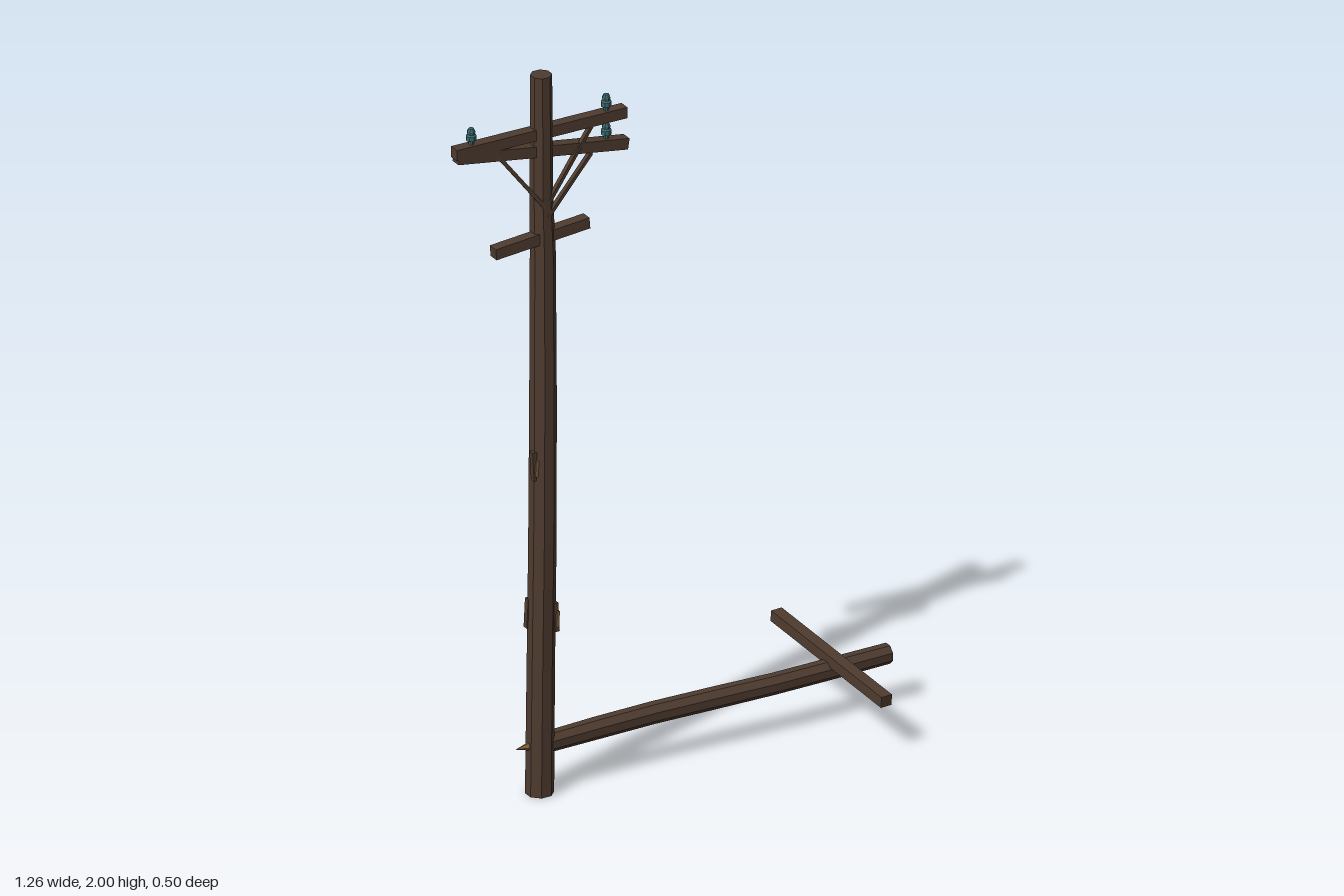
import * as THREE from 'three';

const mat = (name, color) => {
  const m = new THREE.MeshStandardMaterial({ color });
  m.name = name;
  m.flatShading = true;
  return m;
};

export function createModel() {
  const group = new THREE.Group();
  const wood = mat('weathered brown wood', 0x4e3b2f);
  const rawWood = mat('exposed tan wood', 0x80623a);
  const glass = mat('teal glass', 0x3b686c);

  const add = (name, geometry, material) => {
    const mesh = new THREE.Mesh(geometry, material);
    mesh.name = name;
    group.add(mesh);
    return mesh;
  };

  // Eight-sided log along y; each station is [position, offsetA, offsetB, radius]
  const log = (stations) => {
    const n = stations.length - 1;
    const g = new THREE.CylinderGeometry(1, 1, 1, 8, n);
    g.rotateY(Math.PI / 8);
    const p = g.attributes.position;
    for (let i = 0; i < p.count; i++) {
      const [y, a, b, r] = stations[Math.round((p.getY(i) + 0.5) * n)];
      p.setXYZ(i, p.getX(i) * r + a, y, p.getZ(i) * r + b);
    }
    g.computeVertexNormals();
    return g;
  };

  // Rectangular timber between two points
  const timber = (name, from, to, height, depth) => {
    const a = new THREE.Vector3(...from), b = new THREE.Vector3(...to);
    const mesh = add(name, new THREE.BoxGeometry(height, depth, a.distanceTo(b)), wood);
    mesh.position.copy(a).add(b).multiplyScalar(0.5);
    mesh.lookAt(b);
    return mesh;
  };

  // Standing pole, slightly bowed
  add('pole', log([
    [0, -0.387, 0.001, 0.037], [0.35, -0.384, 0.002, 0.036], [0.7, -0.38, 0.003, 0.036],
    [1.1, -0.377, 0.001, 0.035], [1.5, -0.377, 0, 0.033], [1.65, -0.381, 0, 0.03], [2, -0.382, 0, 0.028],
  ]), wood);

  // Fallen pole lying out to the side, with a gentle snake in plan
  const fallen = log([
    [-0.4, -0.135, 0.003, 0.027], [-0.22, -0.136, -0.004, 0.029], [-0.05, -0.136, -0.009, 0.029],
    [0.12, -0.136, -0.005, 0.029], [0.29, -0.136, 0, 0.028], [0.45, -0.136, -0.003, 0.028],
    [0.63, -0.136, -0.008, 0.027],
  ]);
  fallen.rotateZ(-Math.PI / 2);
  // After the turn the first offset becomes height
  add('fallenPole', fallen, wood);

  // Broken, splintered end poking through the standing pole
  const tip = add('brokenEnd', new THREE.ConeGeometry(0.018, 0.065, 5), rawWood);
  tip.rotation.z = Math.PI / 2;
  tip.position.set(-0.424, 0.135, 0);

  // Crossarms
  timber('upperCrossarm', [-0.635, 1.84, 0], [-0.14, 1.84, 0], 0.03, 0.03);
  timber('saggingCrossarm', [-0.628, 1.828, 0], [-0.136, 1.752, 0], 0.03, 0.03);
  timber('shortCrossarm', [-0.525, 1.54, 0.007], [-0.253, 1.563, 0.007], 0.03, 0.03);
  timber('fallenCrossarm', [0.478, 0.145, 0.245], [0.444, 0.19, -0.247], 0.032, 0.03);

  // Thin braces from the arms down to the pole
  [
    [[-0.53, 1.83], [-0.385, 1.64]],
    [[-0.24, 1.83], [-0.372, 1.655]],
    [[-0.243, 1.752], [-0.378, 1.61]],
  ].forEach(([a, b]) => timber('brace', [...a, 0.008], [...b, 0.023], 0.012, 0.01));

  // Insulators: bell-shaped bodies on the arms
  const bell = [[0, 0], [0.007, 0], [0.007, 0.012], [0.014, 0.014], [0.014, 0.026],
    [0.01, 0.03], [0.011, 0.038], [0.007, 0.046], [0, 0.048]].map(([x, y]) => new THREE.Vector2(x, y));
  [[-0.585, 1.853], [-0.193, 1.853], [-0.193, 1.774]].forEach(([x, y]) => {
    add('insulator', new THREE.LatheGeometry(bell, 8), glass).position.set(x, y, 0);
  });

  // Split bark flaps and raw slivers along the pole: x, y, z, lean
  [
    [-0.409, 0.92, 0.012, 0.06], [-0.411, 0.5, -0.014, -0.05], [-0.353, 0.49, 0.02, 0.05],
  ].forEach(([x, y, z, lean]) => {
    const flap = add('splinter', new THREE.BoxGeometry(0.014, 0.08, 0.016), wood);
    flap.position.set(x, y, z);
    flap.rotation.z = lean;
    const sliver = add('rawSliver', new THREE.BoxGeometry(0.008, 0.045, 0.008), rawWood);
    sliver.position.set(x + 0.002, y - 0.005, z + 0.008);
    sliver.rotation.z = -lean;
  });

  return group;
}
